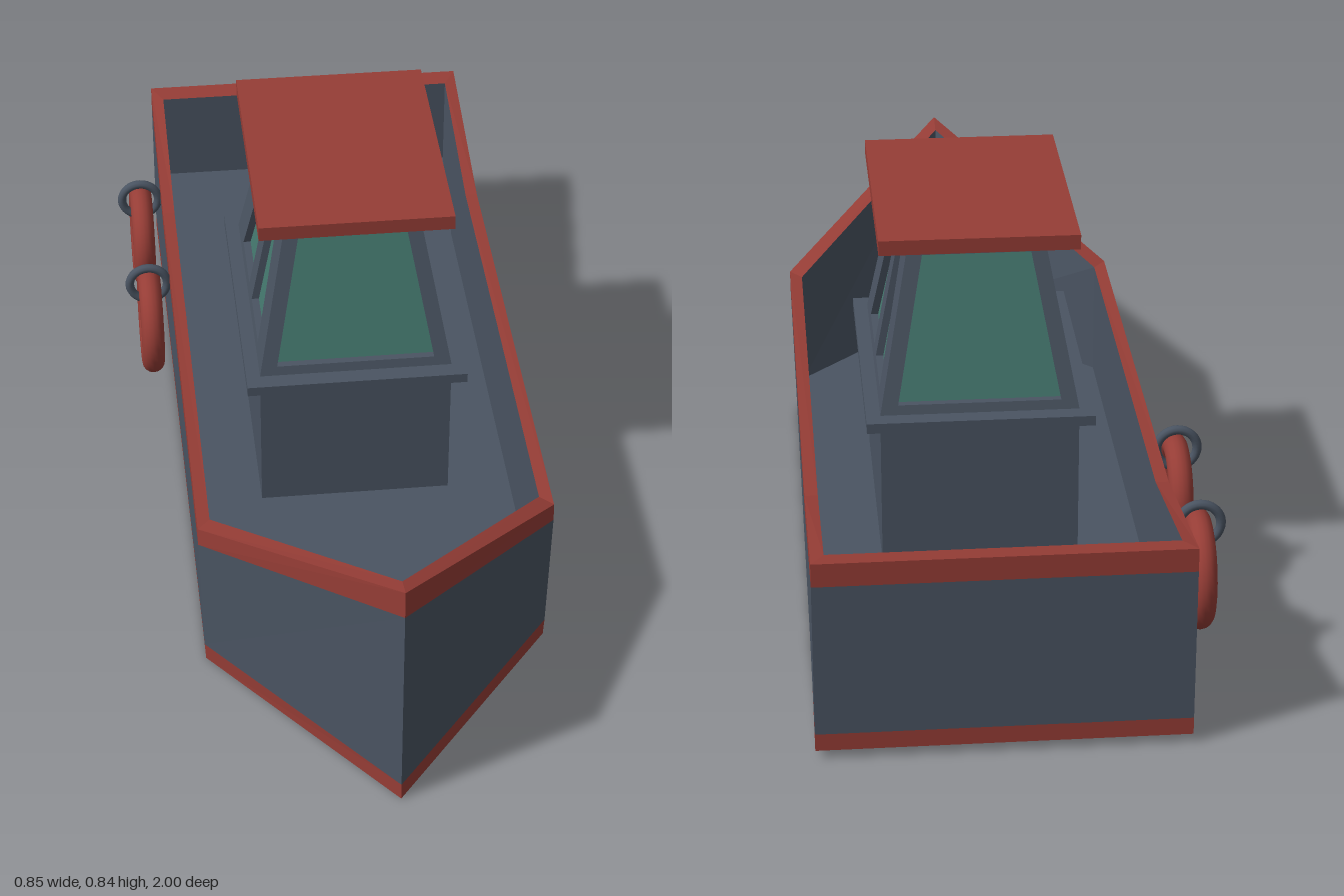
import * as THREE from 'three';

const CX = 0.0475; // hull and cabin centreline

const mat = (name, color) => {
  const m = new THREE.MeshStandardMaterial({ color });
  m.name = name;
  return m;
};

function mesh(name, geometry, material, parent) {
  const m = new THREE.Mesh(geometry, material);
  m.name = name;
  parent.add(m);
  return m;
}

// Flat faces from triangles given as point triples
function faces(tris) {
  const g = new THREE.BufferGeometry();
  g.setAttribute('position', new THREE.Float32BufferAttribute(tris.flat(2), 3));
  g.computeVertexNormals();
  return g;
}

// Strip between two closed loops, both counterclockwise from above
function band(lower, upper) {
  const tris = [];
  lower.forEach((a, i) => {
    const j = (i + 1) % lower.length;
    tris.push([a, lower[j], upper[j]], [a, upper[j], upper[i]]);
  });
  return tris;
}

function cap(loop, index, down = false) {
  return index.map(([a, b, c]) => (down ? [loop[a], loop[c], loop[b]] : [loop[a], loop[b], loop[c]]));
}

// Hull loop from bow, shoulder, aft and stern points, mirrored across the centreline
function hullLoop(bow, ...side) {
  const mirrored = side.map(([x, y, z]) => [-x, y, z]).reverse();
  return [bow, ...side, ...mirrored];
}

function buildHull(grey, red) {
  const hull = new THREE.Group();
  hull.name = 'hull';
  hull.position.x = CX;
  const keel = hullLoop([0, 0, 1], [0.363, 0, 0.55], [0.368, 0, -0.6], [0.372, 0.02, -1]);
  const waterline = hullLoop([0, 0.04, 1], [0.365, 0.04, 0.55], [0.369, 0.037, -0.6], [0.372, 0.057, -1]);
  const strake = hullLoop([0, 0.5, 1], [0.372, 0.322, 0.548], [0.372, 0.318, -0.58], [0.372, 0.385, -1]);
  const rimOuter = hullLoop([0, 0.565, 1], [0.372, 0.362, 0.545], [0.372, 0.36, -0.58], [0.372, 0.435, -1]);
  const rimInner = hullLoop([0, 0.55, 0.95], [0.345, 0.36, 0.515], [0.345, 0.36, -0.58], [0.345, 0.43, -0.955]);
  const deck = hullLoop([0, 0.1, 0.855], [0.345, 0.1, 0.51], [0.345, 0.1, -0.78], [0.345, 0.21, -0.955]);
  const fill = [[6, 0, 1], [6, 1, 2], [6, 2, 5], [5, 2, 3], [5, 3, 4]];

  mesh('hullBottom', faces(cap(keel, fill, true)), grey, hull);
  mesh('lowerStripe', faces(band(keel, waterline)), red, hull);
  mesh('hullSides', faces(band(waterline, strake)), grey, hull);
  mesh('gunwale', faces([...band(strake, rimOuter), ...band(rimOuter, rimInner)]), red, hull);
  mesh('innerSides', faces(band(rimInner, deck)), grey, hull);
  mesh('deck', faces(cap(deck, fill)), grey, hull);
  return hull;
}

// Trapezoid path; bottom and top each give the left and right x
function trapezoid(path, [b0, b1], [t0, t1], y0, y1) {
  path.moveTo(b0, y0).lineTo(b1, y0).lineTo(t1, y1).lineTo(t0, y1).closePath();
  return path;
}

function buildCabin(grey, red, glass) {
  const cabin = new THREE.Group();
  cabin.name = 'cabin';
  cabin.position.set(CX, 0, -0.12);
  const Y0 = 0.445, Y1 = 0.79;
  const bottom = { x: 0.2075, z: 0.28 }, top = { x: 0.1425, z: 0.195 };

  // Lower house and sill
  mesh('cabinBase', new THREE.BoxGeometry(0.415, 0.33, 0.56).translate(0, 0.263, 0), grey, cabin);
  mesh('cabinSill', new THREE.BoxGeometry(0.475, 0.022, 0.635).translate(0, 0.434, 0), grey, cabin);

  // Lean a flat wall inward as it rises
  const lean = (g, d0, d1) => {
    const p = g.attributes.position;
    for (let i = 0; i < p.count; i++) {
      const t = (p.getY(i) - Y0) / (Y1 - Y0);
      p.setZ(i, p.getZ(i) + d0 + (d1 - d0) * t);
    }
    g.computeVertexNormals();
    return g;
  };

  // Four leaning walls with recessed panes
  const endWindows = [[[-0.17, 0.17], [-0.113, 0.113], 0.465, 0.77]];
  const sideWindows = [
    [[-0.184, -0.03], [-0.108, -0.03], 0.465, 0.762],
    [[0.03, 0.184], [0.03, 0.108], 0.465, 0.762],
  ];
  ['front', 'left', 'back', 'right'].forEach((side, i) => {
    const [w, d] = i % 2 ? ['z', 'x'] : ['x', 'z'];
    const windows = i % 2 ? sideWindows : endWindows;
    const wall = trapezoid(new THREE.Shape(), [-bottom[w], bottom[w]], [-top[w], top[w]], Y0, Y1);
    wall.holes = windows.map((o) => trapezoid(new THREE.Path(), ...o));
    const panel = new THREE.ExtrudeGeometry(wall, { depth: 0.022, bevelEnabled: false }).translate(0, 0, -0.022);
    const group = new THREE.Group();
    group.name = side + 'Wall';
    group.rotation.y = (i * Math.PI) / 2;
    cabin.add(group);
    mesh(side + 'Frame', lean(panel, bottom[d], top[d]), grey, group);
    for (const o of windows) {
      const pane = new THREE.ShapeGeometry(trapezoid(new THREE.Shape(), ...o)).translate(0, 0, -0.016);
      mesh(side + 'Window', lean(pane, bottom[d], top[d]), glass, group);
    }
  });

  // Roof slab with a bevelled underside
  const rect = (x, z, y) => [[-x, y, z], [x, y, z], [x, y, -z], [-x, y, -z]];
  const under = rect(0.148, 0.205, 0.785);
  const eave = rect(0.206, 0.281, 0.806);
  const crown = rect(0.206, 0.281, 0.838);
  const quad = [[0, 1, 2], [0, 2, 3]];
  mesh('roof', faces([...cap(under, quad, true), ...band(under, eave), ...band(eave, crown), ...cap(crown, quad)]), red, cabin);
  return cabin;
}

export function createModel() {
  const grey = mat('slateGrey', 0x4a5462);
  const red = mat('brickRed', 0x963d36);
  const glass = mat('tealGlass', 0x45796f);
  const boat = new THREE.Group();
  boat.name = 'boat';
  boat.add(buildHull(grey, red), buildCabin(grey, red, glass));

  // Ring fenders hung from small loops on the right side
  for (const z of [-0.695, -0.36]) {
    const fender = new THREE.Group();
    fender.name = 'fender';
    fender.position.set(-0.371, 0, z);
    boat.add(fender);
    const ring = new THREE.TorusGeometry(0.1, 0.026, 16, 40).rotateY(Math.PI / 2);
    mesh('fenderRing', ring.translate(0, 0.222, 0), red, fender);
    mesh('fenderLoop', new THREE.TorusGeometry(0.043, 0.01, 10, 32).translate(-0.002, 0.323, 0), grey, fender);
  }
  return boat;
}
